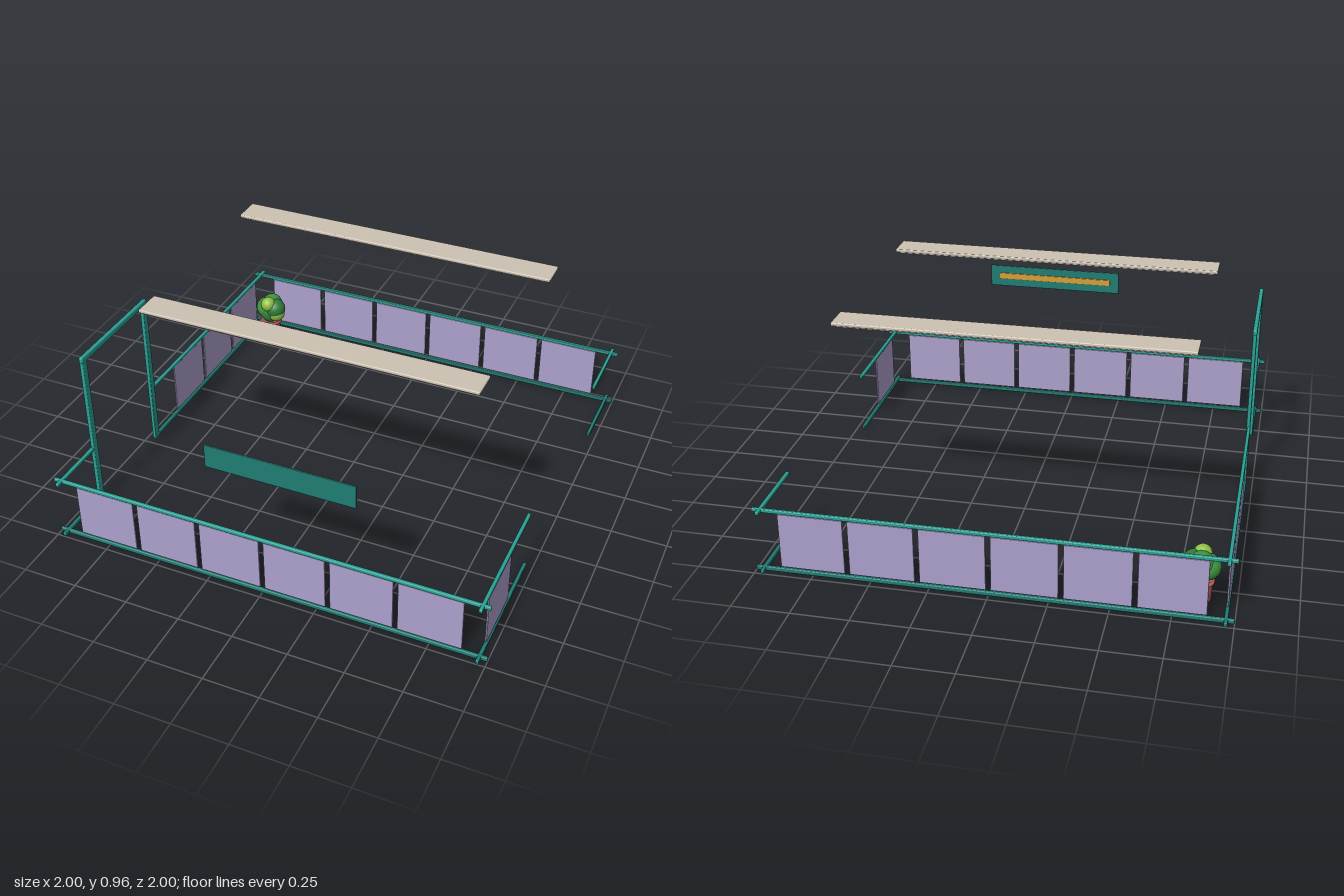
import * as THREE from 'three';
import { RoundedBoxGeometry } from 'three/addons/geometries/RoundedBoxGeometry.js';

const mat = (name, color, extra = {}) => {
  const m = new THREE.MeshStandardMaterial({ color, ...extra });
  m.name = name;
  return m;
};

export function createModel() {
  const teal = mat('teal', 0x2aa194);
  const darkTeal = mat('darkTeal', 0x1f7d74);
  const lilac = mat('lilac', 0xada1cd);
  const beige = mat('beige', 0xccc2b2);
  const grey = mat('grey', 0xb0b0ae);
  const gold = mat('gold', 0xd9a032);
  const clay = mat('clay', 0xcc6666);
  const leaf = mat('leafGreen', 0x3f9440);
  const deepLeaf = mat('deepGreen', 0x2f7d38);
  const lime = mat('limeGreen', 0x8fbf45);

  const model = new THREE.Group();
  model.name = 'fencedStall';

  // Softened box given by its extents on each axis
  const box = (parent, name, material, [x0, x1], [y0, y1], [z0, z1], r = 0.003) => {
    const g = new RoundedBoxGeometry(x1 - x0, y1 - y0, z1 - z0, 2, r);
    const mesh = new THREE.Mesh(g, material);
    mesh.name = name;
    mesh.position.set((x0 + x1) / 2, (y0 + y1) / 2, (z0 + z1) / 2);
    parent.add(mesh);
    return mesh;
  };

  const W = 0.965;           // wall distance from the centre
  const around = (c, t) => [c - t / 2, c + t / 2];

  // One wall: top and bottom rails over each run, and panels between them
  const wall = (name, axis, at, runs, panelCentres) => {
    const group = new THREE.Group();
    group.name = name;
    const place = (part, material, along, y, t, r) => {
      const across = around(at, t);
      if (axis === 'x') box(group, part, material, along, y, across, r);
      else box(group, part, material, across, y, along, r);
    };
    for (const run of runs) {
      place('topRail', teal, run, [0.28, 0.297], 0.016, 0.004);
      place('bottomRail', darkTeal, run, [0, 0.02], 0.016, 0.004);
    }
    for (const c of panelCentres) place('panel', lilac, around(c, 0.28), [0.025, 0.278], 0.008, 0.003);
    model.add(group);
  };
  const six = [-0.75, -0.45, -0.15, 0.15, 0.45, 0.75];
  wall('frontWall', 'x', W, [[-1, 1]], six);
  wall('backWall', 'x', -W, [[-1, 1]], six);
  wall('rightWall', 'z', -W, [[-1, 0.2], [0.7, 1]], [-0.75, -0.45, -0.15]);
  wall('leftWall', 'z', W, [[-1, -0.64], [0.37, 1]], [0.755]);

  // Doorway in the right wall
  const doorway = new THREE.Group();
  doorway.name = 'doorway';
  for (const z of [0.203, 0.703]) {
    box(doorway, 'doorPost', teal, around(-W + 0.003, 0.018), [0.004, 0.752], around(z, 0.034), 0.004);
  }
  box(doorway, 'doorLintel', teal, around(-W + 0.003, 0.02), [0.75, 0.78], [0.184, 0.722], 0.007);
  model.add(doorway);

  // Hanging sign over the front wall, with a gold bar on its inner face
  const sign = new THREE.Group();
  sign.name = 'sign';
  box(sign, 'signBoard', darkTeal, [-0.235, 0.43], [0.602, 0.711], [0.962, 0.97], 0.002);
  box(sign, 'signBar', gold, [-0.19, 0.385], [0.642, 0.672], [0.958, 0.963], 0.001);
  model.add(sign);

  // Two overhead lamps with inset undersides
  for (const z of [-0.469, 0.469]) {
    const lamp = new THREE.Group();
    lamp.name = 'overheadLamp';
    box(lamp, 'lampHousing', beige, [-0.768, 0.765], [0.949, 0.965], around(z, 0.132), 0.005);
    box(lamp, 'lampDiffuser', grey, [-0.752, 0.75], [0.943, 0.951], around(z, 0.118), 0.002);
    model.add(lamp);
  }

  // Potted bush in the back corner
  const plant = new THREE.Group();
  plant.name = 'pottedBush';
  plant.position.set(-0.85, 0, -0.84);
  const pot = new THREE.Mesh(new THREE.LatheGeometry([
    [0, 0.02], [0.045, 0.02], [0.049, 0.1], [0.056, 0.1], [0.056, 0.114], [0.046, 0.114], [0.044, 0.104], [0, 0.104],
  ].map(([x, y]) => new THREE.Vector2(x, y)), 28), clay);
  pot.name = 'pot';
  plant.add(pot);
  const blobs = [
    [leaf, -0.025, 0.175, -0.005, 0.055], [deepLeaf, 0.03, 0.185, 0.005, 0.053],
    [leaf, 0, 0.195, -0.02, 0.053], [deepLeaf, 0, 0.155, 0, 0.055],
    [lime, 0, 0.215, 0.027, 0.039], [lime, 0.036, 0.16, 0.008, 0.045],
  ];
  for (const [material, x, y, z, r] of blobs) {
    const blob = new THREE.Mesh(new THREE.SphereGeometry(r, 20, 14), material);
    blob.name = 'foliage';
    blob.position.set(x, y, z);
    plant.add(blob);
  }
  model.add(plant);

  return model;
}
